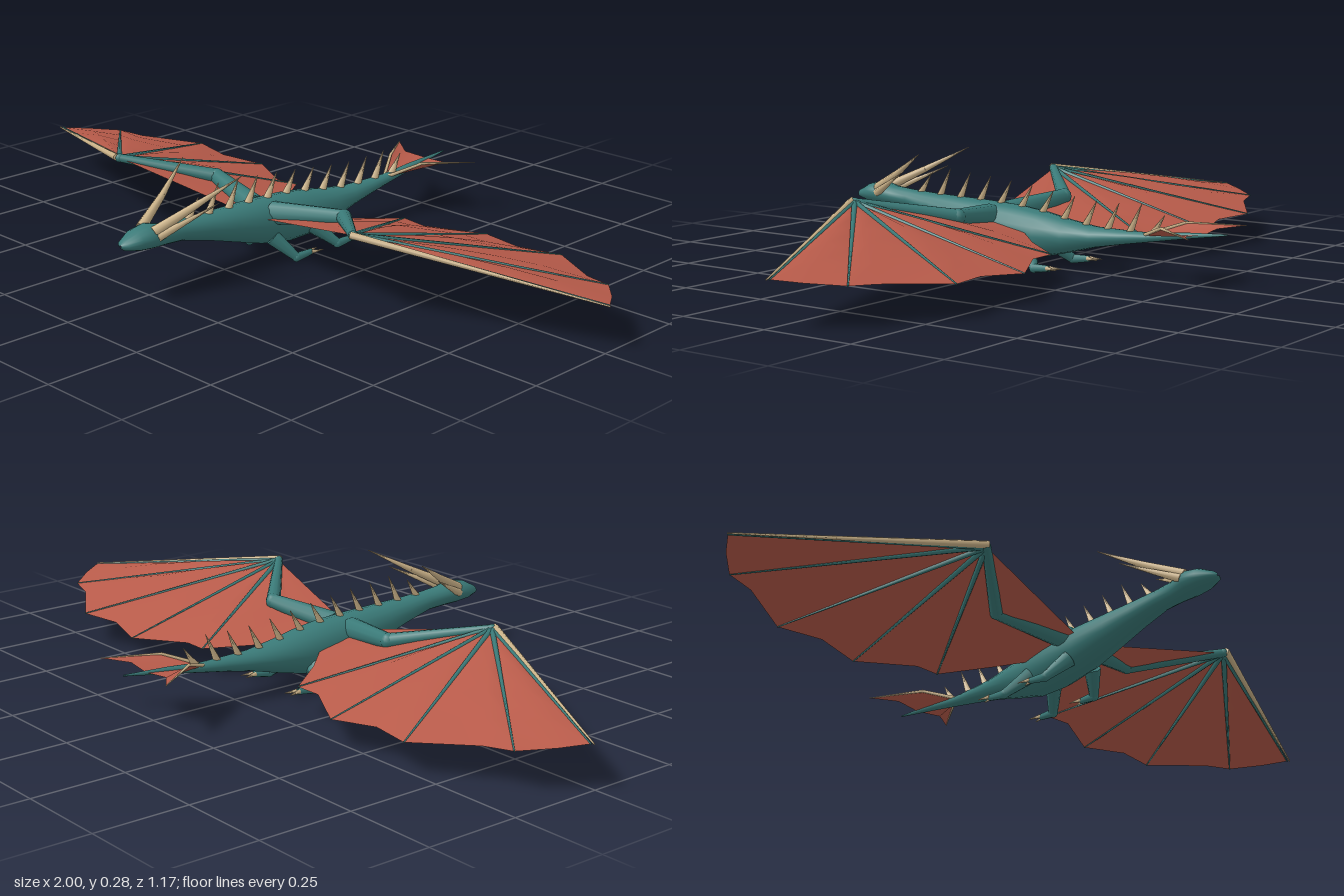
import * as THREE from 'three';

const material = (name, color, side = THREE.FrontSide) => {
  const m = new THREE.MeshStandardMaterial({ color, side });
  m.name = name;
  return m;
};

export function createModel() {
  const teal = material('teal scales', 0x3a7a78);
  const bone = material('pale bone', 0xcdb48a);
  const red = material('red membrane', 0xb85b4a, THREE.DoubleSide);
  const model = new THREE.Group();
  model.name = 'dragon';
  const V = (p) => new THREE.Vector3(...p);

  const add = (parent, name, geometry, mat) => {
    const mesh = new THREE.Mesh(geometry, mat);
    mesh.name = name;
    parent.add(mesh);
    return mesh;
  };

  // Tapered rod from point a to point b
  const rod = (parent, name, a, b, ra, rb, mat, sides = 8) => {
    const from = V(a), to = V(b), dir = to.clone().sub(from);
    const mesh = add(parent, name, new THREE.CylinderGeometry(rb, ra, dir.length(), sides), mat);
    mesh.position.copy(from).add(to).multiplyScalar(0.5);
    mesh.quaternion.setFromUnitVectors(new THREE.Vector3(0, 1, 0), dir.normalize());
    return mesh;
  };
  const joint = (parent, name, p, r) =>
    add(parent, name, new THREE.SphereGeometry(r, 10, 8), teal).position.copy(V(p));

  const surface = (points, index) => {
    const g = new THREE.BufferGeometry();
    g.setAttribute('position', new THREE.Float32BufferAttribute(points, 3));
    g.setIndex(index);
    g.computeVertexNormals();
    return g;
  };

  // Head, neck, trunk and tail: elliptical sections [z, y, half width, half height]
  const sections = [
    [0.585, 0.15, 0.003, 0.003], [0.575, 0.15, 0.021, 0.012], [0.54, 0.155, 0.038, 0.025],
    [0.5, 0.157, 0.042, 0.031], [0.455, 0.151, 0.033, 0.027], [0.4, 0.147, 0.032, 0.026],
    [0.32, 0.135, 0.04, 0.034], [0.24, 0.122, 0.05, 0.045], [0.14, 0.106, 0.06, 0.059],
    [0.04, 0.095, 0.064, 0.065], [-0.04, 0.09, 0.06, 0.06], [-0.12, 0.092, 0.05, 0.043],
    [-0.2, 0.097, 0.036, 0.027], [-0.28, 0.104, 0.025, 0.019], [-0.35, 0.11, 0.017, 0.013],
    [-0.45, 0.123, 0.011, 0.009], [-0.585, 0.137, 0.002, 0.002],
  ];
  const n = 16, pos = [], idx = [];
  sections.forEach(([z, y, rx, ry], i) => {
    for (let j = 0; j < n; j++) {
      const a = (j / n) * Math.PI * 2;
      pos.push(rx * Math.cos(a), y + ry * Math.sin(a), z);
      if (i === sections.length - 1) continue;
      const p = i * n + j, q = i * n + ((j + 1) % n);
      idx.push(p, p + n, q, q, p + n, q + n);
    }
  });
  add(model, 'body', surface(pos, idx), teal);

  // Height of the back at a given z
  const backHeight = (z) => {
    const i = sections.findIndex((s) => s[0] <= z);
    const [a, b] = [sections[i - 1], sections[i]];
    return THREE.MathUtils.lerp(a[1] + a[3], b[1] + b[3], (a[0] - z) / (a[0] - b[0]));
  };

  // Row of spines leaning back along the neck, trunk and tail
  const spines = new THREE.Group();
  spines.name = 'backSpines';
  model.add(spines);
  for (let i = 0; i < 12; i++) {
    const z = 0.37 - i * 0.0672, y = backHeight(z);
    const h = i === 0 || i === 11 ? 0.045 : 0.052 + 0.022 * Math.abs(i - 5.5) / 5.5;
    rod(spines, 'spine', [0, y - 0.008, z], [0, y + h, z - 0.036], 0.011, 0.0008, bone, 6);
  }

  // Fan-shaped membrane panel from a hub to a scalloped edge (a, m, b)
  const panel = (parent, name, hub, a, m, b, billow) => {
    const p = [], f = [], steps = 5;
    for (let r = 0; r <= steps; r++) {
      [a, m, b].forEach((e, c) => {
        const t = r / steps;
        const v = V(hub).lerp(V(e), t);
        if (c === 1) v.y += billow * Math.sin(Math.PI * t);
        p.push(v.x, v.y, v.z);
        if (r < steps && c < 2) {
          const k = r * 3 + c;
          if (r) f.push(k, k + 1, k + 3);
          f.push(k + 1, k + 4, k + 3);
        }
      });
    }
    add(parent, name, surface(p, f), red);
  };

  for (const s of [1, -1]) {
    const label = s > 0 ? 'left' : 'right';
    const M = ([x, y, z]) => [x * s, y, z];

    // Horns
    const horns = new THREE.Group();
    horns.name = label + 'Horns';
    model.add(horns);
    rod(horns, 'longHorn', M([0.024, 0.172, 0.5]), M([0.06, 0.223, 0.4]), 0.014, 0.009, bone);
    rod(horns, 'longHornTip', M([0.06, 0.223, 0.4]), M([0.108, 0.285, 0.288]), 0.009, 0.0008, bone);
    rod(horns, 'shortHorn', M([0.034, 0.16, 0.495]), M([0.1, 0.23, 0.355]), 0.011, 0.0008, bone);

    // Wing arm
    const wing = new THREE.Group();
    wing.name = label + 'Wing';
    model.add(wing);
    const shoulder = M([0.035, 0.13, 0.11]), elbow = M([0.235, 0.155, 0.06]);
    const wrist = M([0.43, 0.2, 0.232]);
    rod(wing, 'upperArm', shoulder, elbow, 0.031, 0.02, teal, 10);
    rod(wing, 'forearm', elbow, wrist, 0.02, 0.011, teal, 10);
    joint(wing, 'elbow', elbow, 0.021);
    joint(wing, 'wrist', wrist, 0.012);

    // Fingers, with the pale leading edge first
    const tips = [
      [0.995, 0.115, -0.015], [0.893, 0.1, -0.15], [0.663, 0.083, -0.27],
      [0.417, 0.072, -0.28], [0.2, 0.08, -0.205],
    ].map(M);
    const notches = [
      [0.955, 0.108, -0.078], [0.815, 0.095, -0.172], [0.543, 0.08, -0.246],
      [0.272, 0.078, -0.2],
    ].map(M);
    rod(wing, 'leadingEdge', M([0.43, 0.203, 0.24]), M([1, 0.115, -0.01]), 0.01, 0.002, bone, 6);
    tips.forEach((t, i) => {
      rod(wing, 'finger', wrist, t, 0.008, 0.002, teal, 6);
      if (i < 4) panel(wing, 'membrane', wrist, t, notches[i], tips[i + 1], 0.012);
    });

    // Inner membrane reaching the flank
    const rear = M([0.05, 0.1, -0.01]);
    panel(wing, 'innerMembrane', wrist, tips[4], M([0.115, 0.088, -0.085]), rear, 0.01);
    panel(wing, 'flankMembrane', wrist, rear, M([0.05, 0.115, 0.07]), M([0.05, 0.125, 0.15]), 0);

    // Tucked legs with backward-pointing feet and claws
    [['frontLeg', 0.12, 0], ['hindLeg', -0.02, -0.01]].forEach(([name, z, dz]) => {
      const leg = new THREE.Group();
      leg.name = label + name[0].toUpperCase() + name.slice(1);
      model.add(leg);
      const hip = M([0.042, 0.068, z]), ankle = M([0.088, 0.016, z - 0.04 + dz]);
      const toe = M([0.092, 0.02, z - 0.09 + dz]);
      rod(leg, 'shin', hip, ankle, 0.022, 0.012, teal);
      joint(leg, 'ankle', ankle, 0.0125);
      rod(leg, 'foot', ankle, toe, 0.012, 0.008, teal);
      for (const d of [-0.008, 0.008]) {
        rod(leg, 'claw', M([0.092 + d / 2, 0.021, z - 0.086 + dz]),
          M([0.092 + d * 1.5, 0.02, z - 0.122 + dz]), 0.006, 0.0006, bone, 6);
      }
    });

    // Tail fin half, with a pale outer rib
    const fin = new THREE.Group();
    fin.name = label + 'TailFin';
    model.add(fin);
    const root = [0, 0.113, -0.34], bend = M([0.058, 0.147, -0.43]), tip = M([0.14, 0.141, -0.557]);
    const finPoints = [root, bend, tip, M([0.075, 0.136, -0.51]), [0, 0.131, -0.518]].flat();
    add(fin, 'finMembrane', surface(finPoints, [0, 1, 3, 1, 2, 3, 0, 3, 4]), red);
    rod(fin, 'finRib', root, bend, 0.005, 0.004, bone, 6);
    rod(fin, 'finRibTip', bend, tip, 0.004, 0.001, bone, 6);
  }
  return model;
}
